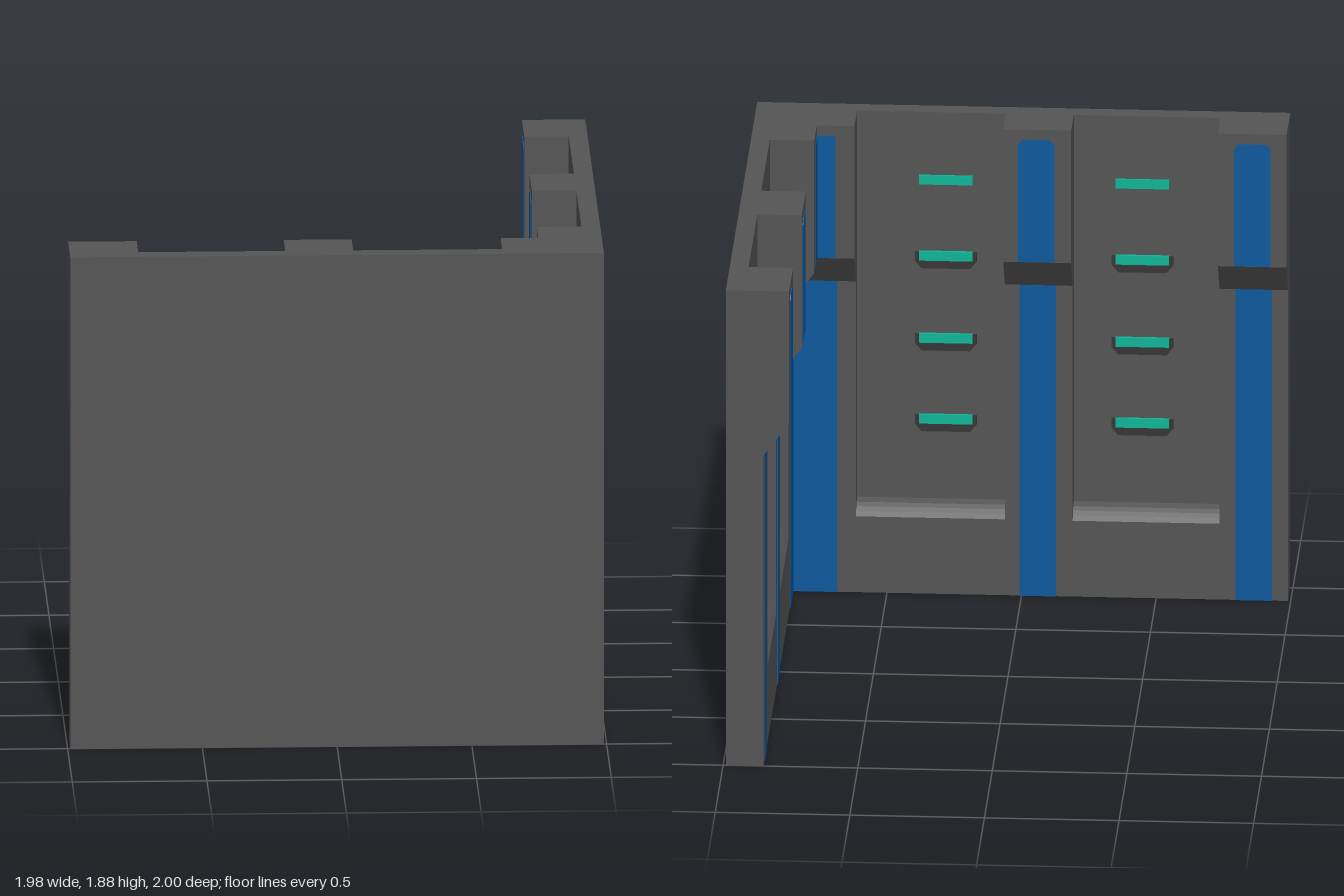
import * as THREE from 'three';

const H = 1.88;            // wall height
const BASE = 0.14;         // depth of the lower wall
const PILLAR = 0.235;      // depth of the upper pillars
const BACK = 0.07;         // depth of the recessed panels

const mat = (name, color) => Object.assign(new THREE.MeshStandardMaterial({ color }), { name });

export function createModel() {
  const grey = mat('wall grey', 0x555555);
  const dark = mat('bracket dark grey', 0x363636);
  const blue = mat('stripe blue', 0x0b589c);
  const teal = mat('lamp teal', 0x0eb598);

  // Cross-sections: x is depth from the outer face, y is height
  const pillarProfile = [[0, 0], [BASE, 0], [BASE, 1.23], [PILLAR, 1.355], [PILLAR, H], [0, H]];
  const panelProfile = [[0, 0], [BASE, 0], [BASE, 0.3], [0.128, 0.317], [0.115, 0.331],
    [0.1, 0.343], [BACK, 0.352], [BACK, H], [0, H]];

  const toShape = pts => new THREE.Shape(pts.map(p => new THREE.Vector2(p[0], p[1])));

  function addMesh(parent, name, geometry, material) {
    const mesh = new THREE.Mesh(geometry, material);
    mesh.name = name;
    parent.add(mesh);
    return mesh;
  }

  // Section of wall running along local z from u0 to u1
  function section(wall, name, profile, u0, u1) {
    const g = new THREE.ExtrudeGeometry(toShape(profile), { depth: u1 - u0, bevelEnabled: false });
    addMesh(wall, name, g, grey).position.z = u0;
  }

  // Thin plate lying on the inner face at a given depth, outline in (u, y)
  function plate(wall, name, pts, material, depth, thickness, u, y) {
    const g = new THREE.ExtrudeGeometry(toShape(pts), { depth: thickness, bevelEnabled: false });
    g.rotateY(Math.PI / 2);
    addMesh(wall, name, g, material).position.set(depth, y, u);
  }

  function stripes(wall, lower, upper, chamfer) {
    const mid = r => (r[0] + r[1]) / 2;
    const a = (lower[1] - lower[0]) / 2, b = (upper[1] - upper[0]) / 2, c = chamfer;
    plate(wall, 'lowerStripe', [[-a, 0], [a, 0], [a, 1.23], [-a, 1.23]], blue, BASE - 0.001, 0.004, mid(lower), 0);
    plate(wall, 'upperStripe', [[-b, 1.357], [b, 1.357], [b, 1.84 - c], [b - c, 1.84], [c - b, 1.84], [-b, 1.84 - c]],
      blue, PILLAR - 0.001, 0.004, mid(upper), 0);
  }

  // Four wall lamps; the lower three sit in tapered brackets
  function lamps(wall, u) {
    [1.61, 1.31, 0.985, 0.665].forEach((y, i) => {
      if (i > 0) {
        plate(wall, 'lampBracket', [[-0.115, -0.015], [-0.09, -0.045], [0.09, -0.045], [0.115, -0.015],
          [0.115, 0.02], [-0.115, 0.02]], dark, BACK - 0.002, 0.012, u, y);
      }
      plate(wall, 'lamp', [[-0.1, -0.014], [0.1, -0.014], [0.1, 0.022], [-0.1, 0.022]], teal,
        BACK, i > 0 ? 0.013 : 0.009, u, y);
    });
  }

  function buildWall(name, spec) {
    const wall = new THREE.Group();
    wall.name = name;
    spec.pillars.forEach(([a, b]) => section(wall, 'pillar', pillarProfile, a, b));
    spec.panels.forEach(([a, b]) => section(wall, 'recessedPanel', panelProfile, a, b));
    spec.stripes.forEach(c => stripes(wall, [c - 0.068, c + 0.068], [c - 0.068, c + 0.068], 0.02));
    stripes(wall, spec.cornerLower, spec.cornerUpper, 0);
    spec.lamps.forEach(u => lamps(wall, u));
    return wall;
  }

  const model = new THREE.Group();
  model.name = 'cornerWall';

  const front = buildWall('frontWall', {
    pillars: [[-0.99, -0.735], [-0.19, 0.062], [0.615, 0.99]],
    panels: [[-0.735, -0.19], [0.062, 0.615]],
    stripes: [-0.863, -0.06],
    cornerLower: [0.685, 0.85],
    cornerUpper: [0.685, 0.755],
    lamps: [-0.445, 0.285],
  });
  front.rotation.y = Math.PI / 2;
  front.position.z = 1;

  const side = buildWall('sideWall', {
    pillars: [[-1, -0.603], [-0.062, 0.19], [0.748, 1]],
    panels: [[-0.603, -0.062], [0.19, 0.748]],
    stripes: [0.065, 0.878],
    cornerLower: [-0.86, -0.675],
    cornerUpper: [-0.765, -0.67],
    lamps: [-0.315, 0.415],
  });
  side.rotation.y = Math.PI;
  side.position.x = 0.99;

  model.add(front, side);
  return model;
}
